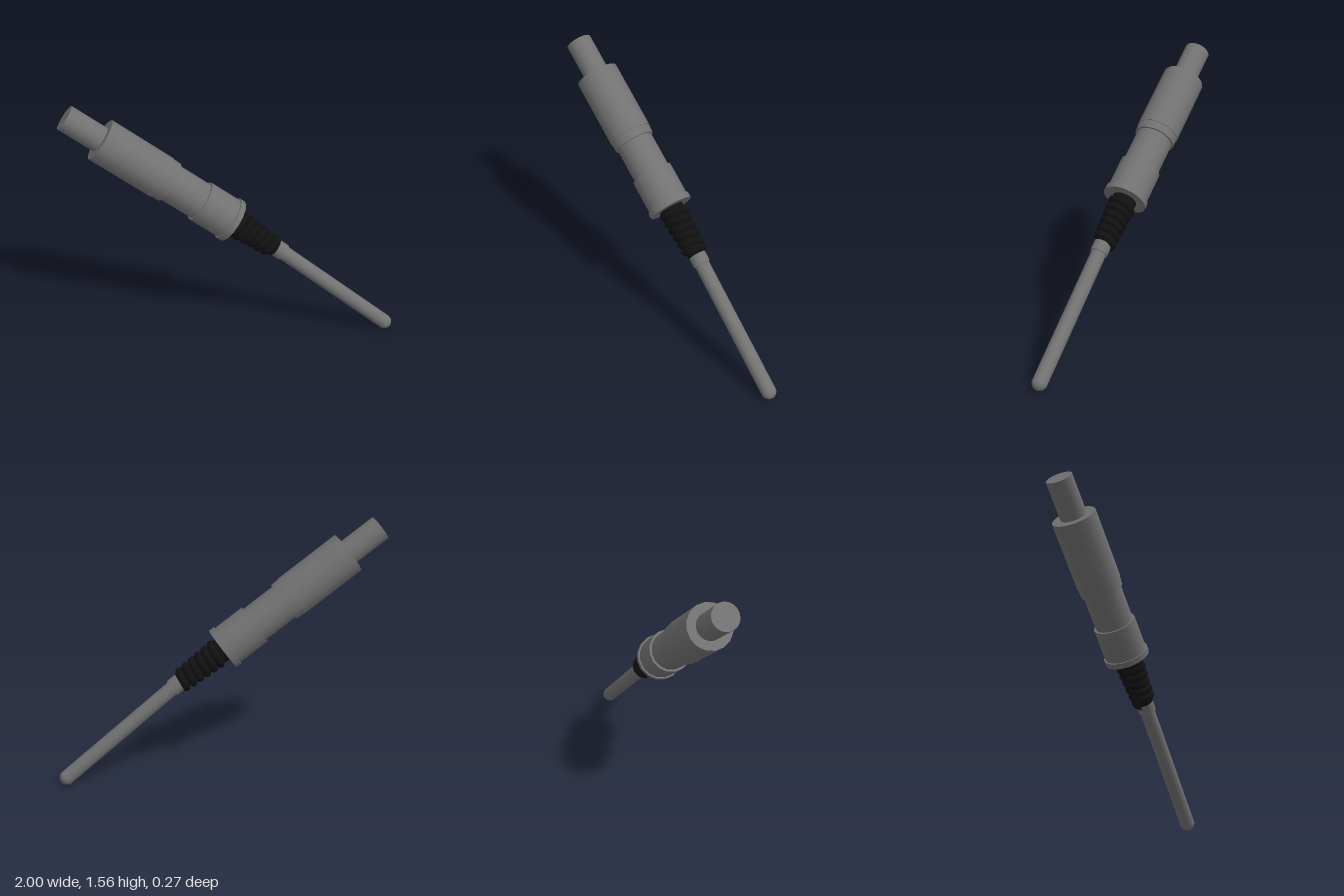
import * as THREE from 'three';

const grey = new THREE.MeshStandardMaterial({ color: 0x727272 });
grey.name = 'grey metal';
const black = new THREE.MeshStandardMaterial({ color: 0x111111 });
black.name = 'black rubber';

function add(parent, name, geometry, material) {
  const mesh = new THREE.Mesh(geometry, material);
  mesh.name = name;
  parent.add(mesh);
  return mesh;
}

// Round section along local y, from radius r0 at y = a to radius r1 at y = b
function section(parent, name, a, b, r0, r1, sides = 16, material = grey) {
  const mesh = add(parent, name, new THREE.CylinderGeometry(r1, r0, b - a, sides), material);
  mesh.position.y = (a + b) / 2;
  return mesh;
}

// Group whose local y axis runs from one point to another in the xy plane
function axisGroup(parent, name, from, to) {
  const group = new THREE.Group();
  group.name = name;
  group.position.copy(from);
  const dir = to.clone().sub(from).normalize();
  group.quaternion.setFromUnitVectors(new THREE.Vector3(0, 1, 0), dir);
  parent.add(group);
  return group;
}

// Tapering spiral of ribs around local y
class Spiral extends THREE.Curve {
  constructor(y0, y1, r0, r1, turns) {
    super();
    Object.assign(this, { y0, y1, r0, r1, turns });
  }
  getPoint(t, target = new THREE.Vector3()) {
    const r = THREE.MathUtils.lerp(this.r0, this.r1, t);
    const a = t * this.turns * Math.PI * 2;
    return target.set(r * Math.cos(a), THREE.MathUtils.lerp(this.y0, this.y1, t), r * Math.sin(a));
  }
}

export function createModel() {
  const root = new THREE.Group();
  root.name = 'probe';
  const top = new THREE.Vector3(-0.952, 1.5, 0);
  const neck = new THREE.Vector3(0.257, 0.612, 0);
  const tip = new THREE.Vector3(0.953, 0.045, 0);

  // Handle, measured from the cable end downward
  const handle = axisGroup(root, 'handle', top, neck);
  section(handle, 'endPlug', 0, 0.3, 0.078, 0.078, 32);
  section(handle, 'upperSleeve', 0.239, 0.665, 0.131, 0.131);
  section(handle, 'sleeveRing', 0.66, 0.717, 0.128, 0.126);
  section(handle, 'waist', 0.7, 0.95, 0.114, 0.114);
  section(handle, 'lowerGrip', 0.936, 1.15, 0.127, 0.127);
  section(handle, 'flange', 1.14, 1.175, 0.136, 0.136);

  // Ribbed rubber boot
  section(handle, 'bootCore', 1.17, 1.495, 0.076, 0.056, 20, black);
  const ribs = new Spiral(1.195, 1.49, 0.066, 0.05, 6);
  add(handle, 'bootRibs', new THREE.TubeGeometry(ribs, 168, 0.025, 8, false), black);

  // Rod with a collar and a rounded tip
  const rod = axisGroup(root, 'rod', neck, tip);
  const length = neck.distanceTo(tip);
  section(rod, 'rodCollar', -0.03, 0.058, 0.053, 0.053, 20);
  const shaft = add(rod, 'rodShaft', new THREE.CapsuleGeometry(0.045, length, 8, 24), grey);
  shaft.position.y = length / 2;

  return root;
}
